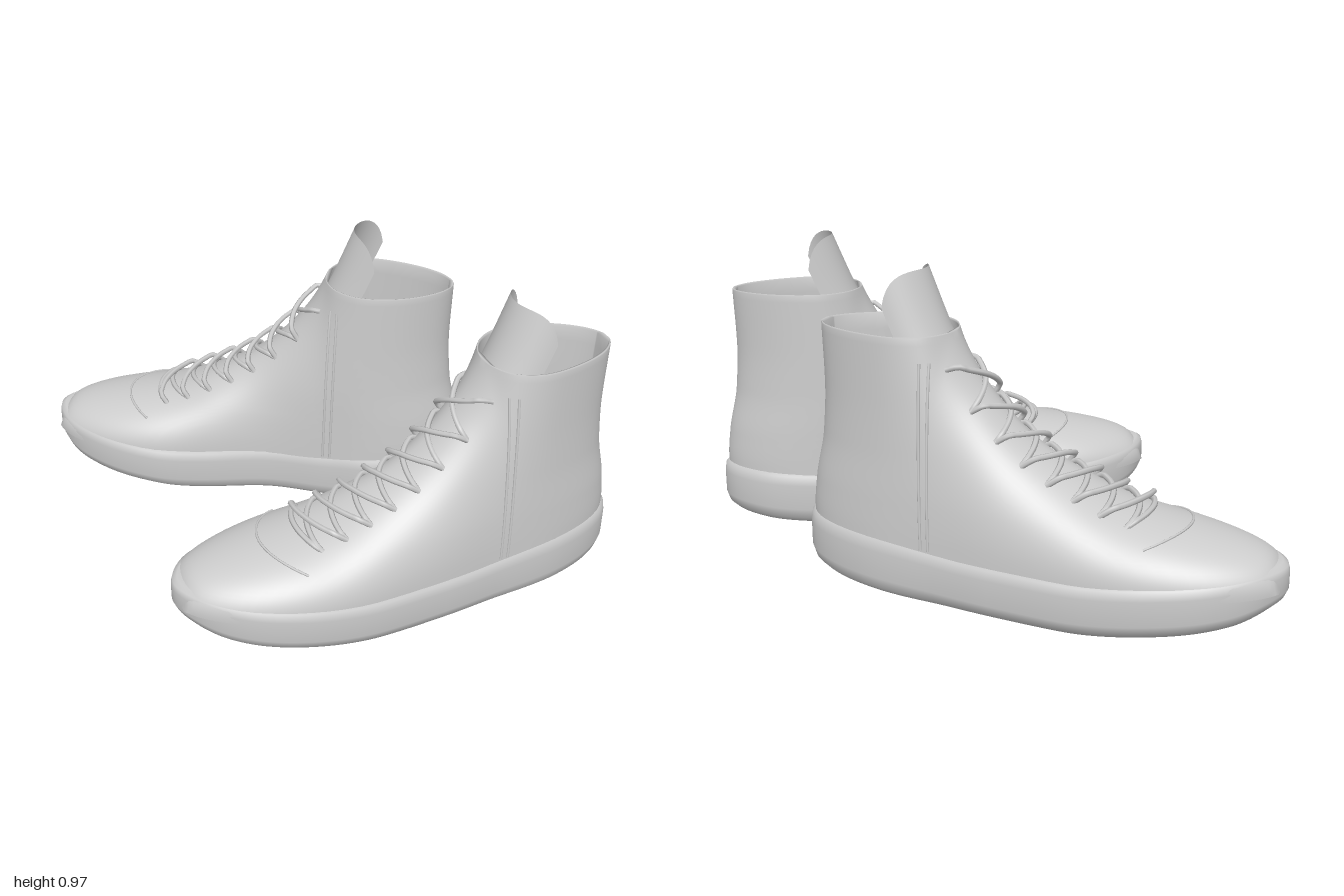
import * as THREE from 'three';

const material = new THREE.MeshStandardMaterial({ color: 0xcccccc });
const thin = new THREE.MeshStandardMaterial({ color: 0xcccccc, side: THREE.DoubleSide });

// Smooth monotone interpolation through [x, y] pairs
function interp(pts, x) {
  const n = pts.length - 1;
  if (x <= pts[0][0]) return pts[0][1];
  if (x >= pts[n][0]) return pts[n][1];
  let i = 0;
  while (x > pts[i + 1][0]) i++;
  const sec = k => (pts[k + 1][1] - pts[k][1]) / (pts[k + 1][0] - pts[k][0]);
  const slope = k => {
    if (k === 0) return sec(0);
    if (k === n) return sec(n - 1);
    const a = sec(k - 1), b = sec(k);
    return a * b <= 0 ? 0 : 2 * a * b / (a + b);
  };
  const h = pts[i + 1][0] - pts[i][0], t = (x - pts[i][0]) / h, t2 = t * t, t3 = t2 * t;
  return (2 * t3 - 3 * t2 + 1) * pts[i][1] + (t3 - 2 * t2 + t) * h * slope(i)
    + (3 * t2 - 2 * t3) * pts[i + 1][1] + (t3 - t2) * h * slope(i + 1);
}

// Shoe coordinates: s = distance from heel towards toe, l = towards the outer side
const OUTLINE = [[1.49, 0], [1.44, .1], [1.32, .19], [1.15, .245], [.94, .26], [.67, .235], [.49, .207],
  [.25, .175], [.1, .12], [.03, .065], [0, 0], [.03, -.075], [.14, -.16], [.3, -.198], [.46, -.187],
  [.67, -.17], [.89, -.212], [1.08, -.24], [1.28, -.205], [1.43, -.12]];
const outline = new THREE.CatmullRomCurve3(OUTLINE.map(([s, l]) => new THREE.Vector3(s, 0, l)), true)
  .getPoints(240).slice(0, 240);
const sides = [1, -1].map(g => [[0, 0], ...outline.filter(p => p.z * g > 1e-4)
  .map(p => [p.x, p.z * g]).sort((a, b) => a[0] - b[0]), [1.49, 0]]);

const SOLE_TOP = [[0, .195], [.3, .185], [.6, .165], [.9, .165], [1.2, .185], [1.49, .21]];
const SOLE_BOTTOM = [[0, .03], [.2, .01], [.45, 0], [.9, 0], [1.15, .02], [1.35, .05], [1.49, .1]];
const RIDGE = [[0, 6], [.29, 2.5], [.39, 1.3], [.44, 1], [.495, .79], [.59, .63], [.74, .48], [.89, .39],
  [1.04, .325], [1.21, .29], [1.34, .262], [1.42, .235], [1.46, .2], [1.475, .14]];
const HEEL = [[.14, .015], [.2, .015], [.3, .025], [.45, .055], [.6, .065], [.79, .06]];
const Y0 = .14, RIM = .79, POWER = 2.5;

// Width of the upper before it rounds over towards the ridge
function baseWidth(s, y, g) {
  const table = sides[g > 0 ? 0 : 1], x = s - interp(HEEL, y);
  if (x <= 0 || x >= 1.49) return 0;
  let i = 0;
  while (x > table[i + 1][0]) i++;
  const [a, b] = [table[i], table[i + 1]];
  const w = a[1] + (b[1] - a[1]) * (x - a[0]) / Math.max(1e-6, b[0] - a[0]);
  return w * THREE.MathUtils.mapLinear(y, Y0, RIM, .96, .9);
}
function upperWidth(s, y, g) {
  const q = (y - Y0) / Math.max(1e-4, interp(RIDGE, s) - Y0);
  return baseWidth(s, y, g) * Math.sqrt(Math.max(0, 1 - Math.pow(q, POWER)));
}
function frontAt(y) {
  let lo = .2, hi = 1.475;
  for (let i = 0; i < 40; i++) {
    const mid = (lo + hi) / 2;
    if (interp(RIDGE, mid) > y) lo = mid; else hi = mid;
  }
  return lo;
}
// Point on the vamp at angle phi from the ridge, lifted by off
function vampPoint(s, phi, off) {
  const y = Y0 + (interp(RIDGE, s) - Y0) * Math.pow(Math.cos(phi), 2 / POWER);
  const l = Math.sin(phi) * baseWidth(s, y, phi);
  return [s + off * .6, y + off * Math.cos(phi), l + off * Math.sin(phi)];
}
// Horizontal slice of the upper
function slice(y, inset = 0, N = 80) {
  const f = frontAt(y) - inset, b = interp(HEEL, y) + inset;
  return Array.from({ length: N }, (_, j) => {
    const u = 2 * Math.PI * j / N, g = j < N / 2 ? 1 : -1;
    const s = (f + b) / 2 + (f - b) / 2 * Math.cos(u);
    const end = j === 0 || j === N / 2;
    return [s, y, end ? 0 : g * Math.max(0, upperWidth(s, y, g) - inset * .8)];
  });
}

function createShoe(name, m) {
  const shoe = new THREE.Group();
  shoe.name = name;
  const place = ([s, y, l]) => new THREE.Vector3(-s, y, -m * l);
  const add = (partName, geometry, mat = material) => {
    const mesh = new THREE.Mesh(geometry, mat);
    mesh.name = partName;
    shoe.add(mesh);
  };
  // Skin over rows of points
  const loft = (rows, closed = true) => {
    const n = rows[0].length, index = [];
    for (let i = 0; i < rows.length - 1; i++) {
      for (let j = 0; j < (closed ? n : n - 1); j++) {
        const a = i * n + j, c = i * n + (j + 1) % n, b = a + n, d = c + n;
        index.push(...(m > 0 ? [a, b, c, c, b, d] : [a, c, b, c, d, b]));
      }
    }
    const geo = new THREE.BufferGeometry().setFromPoints(rows.flat().map(place));
    geo.setIndex(index);
    geo.computeVertexNormals();
    return geo;
  };
  const cord = (pts, radius) => new THREE.TubeGeometry(
    new THREE.CatmullRomCurve3(pts.map(place)), 20, radius, 6);

  // Rubber sole with raised toe and rounded edges
  const soleRows = [[.23, 0], [.12, 0], [.03, 0], [.03, 0], [.01, .1], [0, .28], [0, .75], [.005, .92], [.02, 1], [.06, 1]];
  add('sole', loft(soleRows.map(([inset, t]) => outline.map(p => {
    const s = .745 + (p.x - .745) * (1 - inset / .745);
    const y = THREE.MathUtils.lerp(interp(SOLE_BOTTOM, s), interp(SOLE_TOP, s), t);
    return [s, y, p.z * (1 - inset / .23)];
  }))));

  // Upper: outer skin, collar rim, lining and insole
  const rows = [];
  for (let i = 0; i <= 50; i++) rows.push(slice(Y0 + (RIM - Y0) * Math.pow(i / 50, 1.6)));
  rows.push(slice(RIM, .004).map(([s, y, l]) => [s, y + .004, l]));
  for (let i = 0; i <= 24; i++) rows.push(slice(RIM - (RIM - .19) * Math.pow(i / 24, .8), .016));
  const floor = rows[rows.length - 1];
  rows.push(floor, floor.map(([s, y]) => [s, y, 0]));
  add('upper', loft(rows));

  // Curved tongue rising out of the collar
  const tongue = [], TL = [[.62, -.065], [.8, .02], [.97, .09]];
  for (let i = 0; i <= 14; i++) {
    tongue.push(Array.from({ length: 25 }, (_, j) => {
      const e = (j - 12) / 12, phi = e * 1.4;
      const y = .62 + (.35 - .1 * Math.pow(Math.abs(e), 4)) * i / 14;
      return [.49 - interp(TL, y) - .15 * (1 - Math.cos(phi)), y, .13 * Math.sin(phi)];
    }));
  }
  add('tongue', loft(tongue, false), thin);

  // Crossed laces
  const ROWS = 8, eyelet = i => 1.09 - .55 * i / (ROWS - 1);
  const lace = (s0, s1, g, lift, spread) => {
    const pts = [];
    for (let k = 0; k <= 10; k++) {
      const e = k / 5 - 1;
      const s = THREE.MathUtils.lerp(s0, s1, k / 10) - .04 * e * e;
      pts.push(vampPoint(s, g * e * spread, Math.abs(e) === 1 ? -.004 : lift));
    }
    return cord(pts, .009);
  };
  add('laceBar', lace(eyelet(0), eyelet(0), 1, .008, .55));
  for (let i = 0; i < ROWS - 1; i++) {
    add('laceOver', lace(eyelet(i), eyelet(i + 1), 1, .024, .56));
    add('laceUnder', lace(eyelet(i), eyelet(i + 1), -1, .009, .56));
  }

  // Toe cap edge
  const cap = [];
  for (let k = -8; k <= 8; k++) cap.push(vampPoint(1.21 - .1 * (k / 8) ** 2, k / 8 * .85, .001));
  add('toeCapSeam', cord(cap, .004));

  // Double seams down both flanks
  for (const g of [1, -1]) for (const ds of [0, .025]) {
    const pts = [];
    for (let k = 0; k <= 10; k++) {
      const y = .17 + .055 * k, s = .475 - .015 * k / 10 - ds;
      pts.push([s, y, g * upperWidth(s, y, g)]);
    }
    add('sideSeam', cord(pts, .005));
  }
  return shoe;
}

export function createModel() {
  const model = new THREE.Group();
  model.name = 'highTopShoes';
  const right = createShoe('rightShoe', 1);
  right.position.set(.49, 0, -.41);
  const left = createShoe('leftShoe', -1);
  left.position.set(.98, 0, -.14);
  left.rotation.y = THREE.MathUtils.degToRad(28.5);
  model.add(right, left);
  return model;
}
